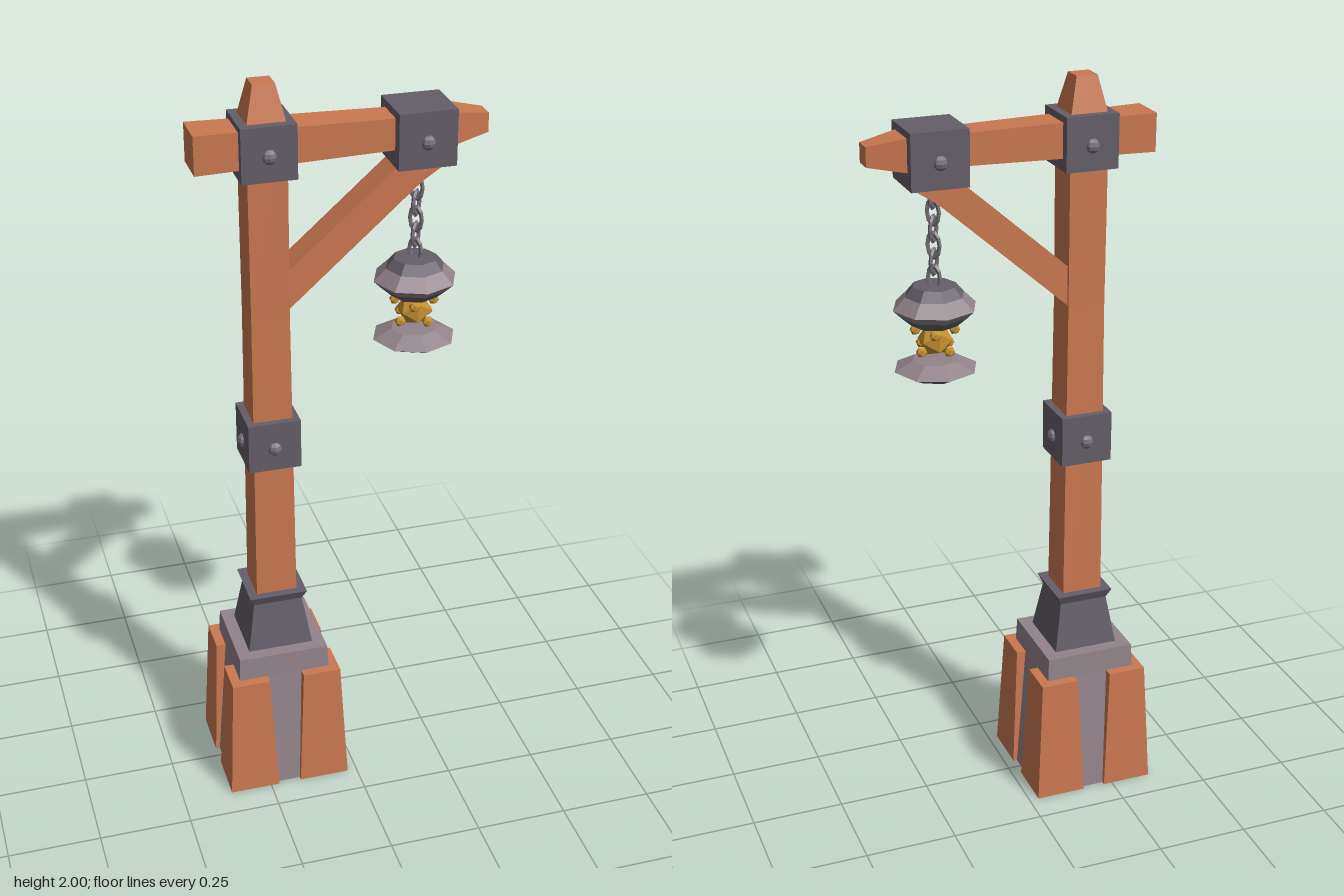
import * as THREE from 'three';

const material = (name, color, extra = {}) => {
  const m = new THREE.MeshStandardMaterial({ color, flatShading: true, side: THREE.DoubleSide, ...extra });
  m.name = name;
  return m;
};

// Square-section column through stations [y, halfX, halfZ], optionally open underneath
function stack(stations, openBottom = false) {
  const n = stations.length - 1;
  const g = new THREE.BoxGeometry(2, n, 2, 1, n, 1);
  const p = g.attributes.position;
  for (let i = 0; i < p.count; i++) {
    const [y, hx, hz = hx] = stations[Math.round(p.getY(i) + n / 2)];
    p.setXYZ(i, p.getX(i) * hx, y, p.getZ(i) * hz);
  }
  if (openBottom) {
    const { start, count } = g.groups[3];
    const index = Array.from(g.index.array);
    index.splice(start, count);
    g.setIndex(index);
  }
  g.clearGroups();
  g.computeVertexNormals();
  return g;
}

export function createModel() {
  const wood = material('wood', 0xca7850);
  const iron = material('dark iron', 0x645e68);
  const stone = material('pale stone', 0x92838a);
  const steel = material('chain steel', 0x77717a);
  const gold = material('gold', 0xc4902f);

  const root = new THREE.Group();
  root.name = 'lanternPost';
  const add = (name, geometry, mat, parent = root, x = 0, y = 0, z = 0) => {
    const m = new THREE.Mesh(geometry, mat);
    m.name = name;
    m.position.set(x, y, z);
    parent.add(m);
    return m;
  };
  const postX = -0.195;
  const lampX = 0.2;

  // Stone footing with four tapered corner blocks and an iron collar
  const base = new THREE.Group();
  base.name = 'base';
  base.position.x = postX;
  root.add(base);
  add('footing', stack([[0, 0.158], [0.35, 0.126], [0.415, 0.123]], true), stone, base);
  for (const sx of [-1, 1]) for (const sz of [-1, 1]) {
    add('cornerBlock', stack([[0, 0.069], [0.35, 0.052]], true), wood, base, sx * 0.1, 0, sz * 0.1);
  }
  add('collar', stack([[0.41, 0.09], [0.55, 0.067], [0.577, 0.079]]), iron, base);

  // Upright post with a tapered tip
  add('post', stack([[0.5, 0.056], [1.4, 0.05], [1.9, 0.051], [2, 0.028]]), wood, root, postX);

  // Cross beam, built upright then laid along x
  const beam = stack([[-0.375, 0.05, 0.053], [0.12, 0.041, 0.043], [0.27, 0.044, 0.049], [0.375, 0.025, 0.026]]);
  beam.rotateZ(-Math.PI / 2);
  add('beam', beam, wood, root, 0, 1.847);

  // Diagonal brace
  const outline = new THREE.Shape([[-0.17, 1.39], [-0.148, 1.41], [0.2, 1.717], [0.265, 1.76], [0.265, 1.79],
    [0.166, 1.79], [-0.148, 1.515], [-0.17, 1.495]].map(([x, y]) => new THREE.Vector2(x, y)));
  add('brace', new THREE.ExtrudeGeometry(outline, { depth: 0.084, bevelEnabled: false }), wood, root, 0, 0, -0.042);

  // Iron brackets with rivets
  const rivet = new THREE.SphereGeometry(0.02, 8, 6);
  const bracket = (name, x, y, w, h, d, sides) => {
    const g = new THREE.Group();
    g.name = name;
    g.position.set(x, y, 0);
    root.add(g);
    add('plate', new THREE.BoxGeometry(w, h, d), iron, g);
    for (const s of [-1, 1]) {
      add('rivet', rivet, steel, g, 0, -0.006, s * (d / 2 - 0.005));
      if (sides) add('rivet', rivet, steel, g, s * (w / 2 - 0.005), -0.006, 0);
    }
  };
  bracket('middleBracket', postX, 1.038, 0.14, 0.137, 0.14, true);
  bracket('topBracket', postX, 1.84, 0.14, 0.14, 0.146, false);
  bracket('beamBracket', 0.203, 1.835, 0.15, 0.145, 0.15, false);

  // Hanging chain of alternating oval links
  const link = new THREE.TorusGeometry(0.017, 0.0055, 5, 10);
  link.scale(1, 1.75, 1);
  for (let i = 0; i < 6; i++) {
    const m = add('chainLink', link, steel, root, lampX, 1.73 - i * 0.043, 0);
    m.rotation.y = Math.PI / 4 + (i % 2) * Math.PI / 2;
  }

  // Octagonal lantern plates
  const lantern = new THREE.Group();
  lantern.name = 'lantern';
  lantern.position.x = lampX;
  root.add(lantern);
  const ring = (name, profile, mat) => add(name,
    new THREE.LatheGeometry(profile.map(([r, y]) => new THREE.Vector2(r, y)), 8), mat, lantern);
  ring('lidCrown', [[0.078, 1.472], [0.057, 1.497], [0, 1.5]], iron);
  ring('lidFlange', [[0.09, 1.42], [0.11, 1.44], [0.078, 1.472]], stone);
  ring('lidUnderside', [[0, 1.395], [0.062, 1.395], [0.09, 1.42]], iron);
  ring('trayTop', [[0.11, 1.275], [0.06, 1.3], [0, 1.302]], stone);
  ring('trayUnderside', [[0, 1.253], [0.065, 1.253], [0.11, 1.275]], iron);

  // Faceted glowing core ringed by small nuggets
  add('core', new THREE.IcosahedronGeometry(0.046, 0), gold, lantern, 0, 1.352);
  const nugget = new THREE.IcosahedronGeometry(0.015, 0);
  for (let i = 0; i < 8; i++) {
    const a = i * Math.PI / 4 + 0.3;
    add('nugget', nugget, gold, lantern, 0.05 * Math.cos(a), i % 2 ? 1.33 : 1.378, 0.05 * Math.sin(a));
  }
  return root;
}
